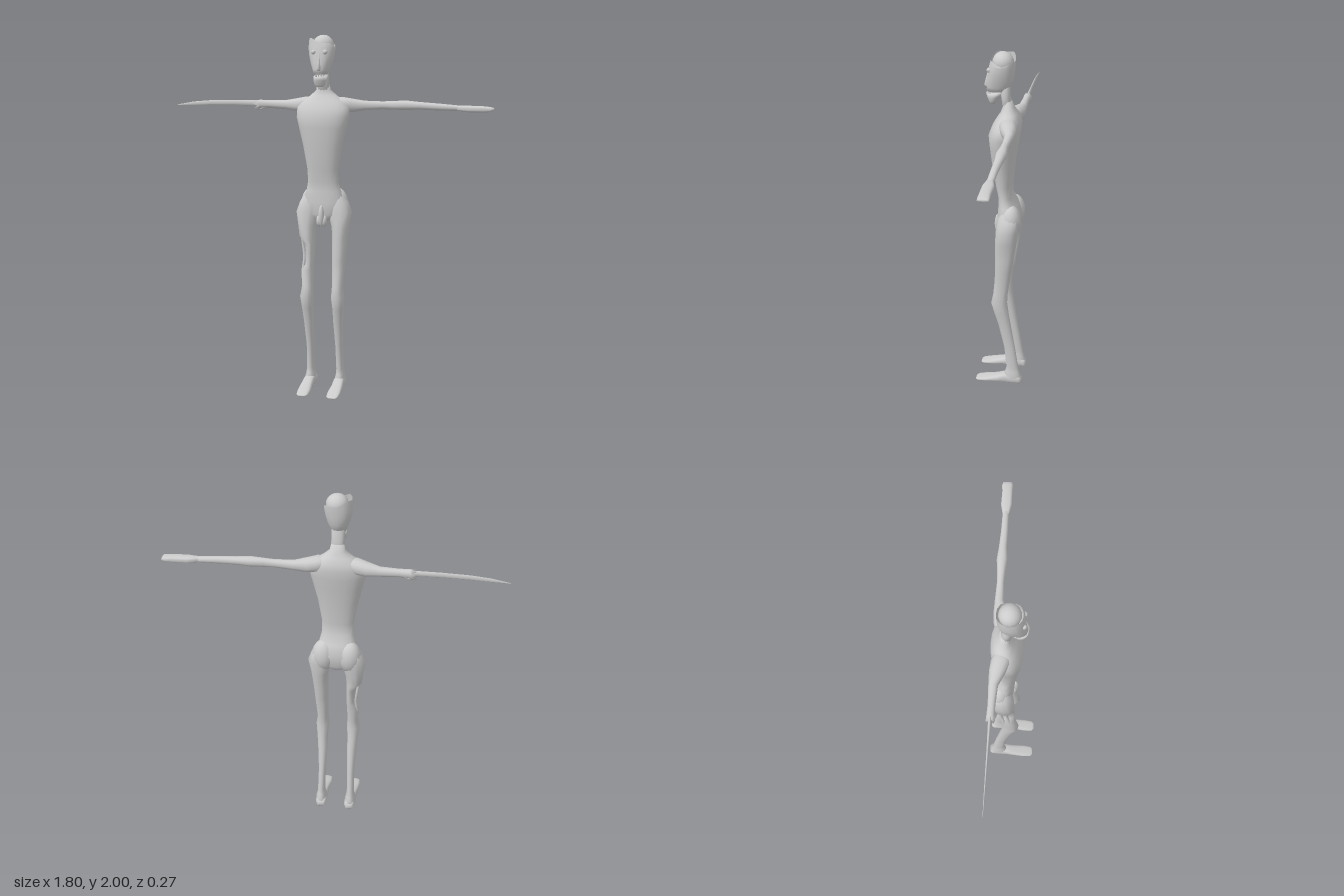
import * as THREE from 'three';

const CX = -0.022; // symmetry line of the body

export function createModel() {
  const model = new THREE.Group();
  model.name = 'gauntFigure';
  const grey = new THREE.MeshStandardMaterial({ color: 0xcccccc, side: THREE.DoubleSide });
  grey.name = 'plainGrey';

  const add = (name, geo, pos = [0, 0, 0], scale = [1, 1, 1], rot = [0, 0, 0]) => {
    const m = new THREE.Mesh(geo, grey);
    m.name = name;
    m.position.set(...pos);
    m.scale.set(...scale);
    m.rotation.set(...rot);
    model.add(m);
  };

  // Axis mappings: (along, a, b) -> x, y, z
  const UP = (t, a, b) => [a, t, b];
  const SIDE = (t, a, b) => [t, a, b];
  const FRONT = (t, a, b) => [a, b, t];
  const mirror = (map) => (t, a, b) => {
    const p = map(t, a, b);
    return [2 * CX - p[0], p[1], p[2]];
  };

  // Skin over oval sections [along, a0, a1, b0, b1]; closed at both ends unless openTop
  function loft(rows, map, { n = 14, e = 0.9, openTop = false, edit = null } = {}) {
    const pos = [], idx = [];
    const pw = (v) => Math.sign(v) * Math.abs(v) ** e;
    rows.forEach(([t, a0, a1, b0, b1], r) => {
      for (let i = 0; i < n; i++) {
        const w = (i / n) * Math.PI * 2;
        const p = map(t, (a0 + a1) / 2 + pw(Math.cos(w)) * (a1 - a0) / 2,
          (b0 + b1) / 2 + pw(Math.sin(w)) * (b1 - b0) / 2);
        if (edit) edit(p, r, i);
        pos.push(...p);
      }
    });
    for (let r = 0; r < rows.length - 1; r++) for (let i = 0; i < n; i++) {
      const a = r * n + i, b = r * n + (i + 1) % n;
      idx.push(a, b, a + n, b, b + n, a + n);
    }
    const cap = (r, flip) => {
      const [t, a0, a1, b0, b1] = rows[r], c = pos.length / 3;
      pos.push(...map(t, (a0 + a1) / 2, (b0 + b1) / 2));
      for (let i = 0; i < n; i++) {
        const a = r * n + i, b = r * n + (i + 1) % n;
        idx.push(...(flip ? [c, b, a] : [c, a, b]));
      }
    };
    cap(0, true);
    if (!openTop) cap(rows.length - 1, false);
    // Turn all faces outward when the mapping reverses them
    const zero = new THREE.Vector3(...map(0, 0, 0));
    const [o, u, w] = [[1, 0, 0], [0, 1, 0], [0, 0, 1]]
      .map((d) => new THREE.Vector3(...map(...d)).sub(zero));
    const dir = u.cross(w).dot(o) * (rows[rows.length - 1][0] - rows[0][0]);
    if (dir < 0) for (let i = 0; i < idx.length; i += 3) [idx[i], idx[i + 1]] = [idx[i + 1], idx[i]];
    const g = new THREE.BufferGeometry();
    g.setAttribute('position', new THREE.Float32BufferAttribute(pos, 3));
    g.setIndex(idx);
    g.computeVertexNormals();
    return g;
  }
  const sym = (rows) => rows.map(([t, h, z0, z1]) => [t, CX - h, CX + h, z0, z1]);
  const ball = new THREE.SphereGeometry(1, 14, 10);

  // Torso, from the crotch to the neck
  add('torso', loft(sym([
    [0.985, 0.035, -0.08, 0], [1.02, 0.1, -0.1, 0.016], [1.09, 0.126, -0.112, 0.018],
    [1.15, 0.099, -0.092, 0.014], [1.2, 0.087, -0.062, 0.015], [1.27, 0.087, -0.062, 0.03],
    [1.4, 0.109, -0.075, 0.05], [1.5, 0.133, -0.09, 0.061], [1.56, 0.147, -0.1, 0.065],
    [1.61, 0.147, -0.105, 0.045], [1.645, 0.12, -0.1, 0.025], [1.675, 0.075, -0.085, 0.005],
    [1.705, 0.04, -0.066, -0.005], [1.74, 0.034, -0.054, -0.002],
  ]), UP, { n: 20 }));
  add('neck', loft(sym([
    [1.7, 0.038, -0.065, -0.005], [1.76, 0.034, -0.045, 0.002], [1.84, 0.034, -0.045, 0.012],
  ]), UP));

  // Arms: the left is whole, the right ends in a torn stump
  const arm = [
    [0.02, 1.605, 1.665, -0.08, -0.02], [0.08, 1.585, 1.668, -0.097, 0],
    [0.13, 1.584, 1.659, -0.102, -0.02], [0.2, 1.595, 1.647, -0.1, -0.052],
    [0.3, 1.602, 1.644, -0.096, -0.058], [0.356, 1.6, 1.647, -0.098, -0.057],
  ];
  add('leftArm', loft([...arm,
    [0.43, 1.599, 1.65, -0.106, -0.05], [0.5, 1.602, 1.643, -0.1, -0.057],
    [0.6, 1.599, 1.636, -0.095, -0.058], [0.72, 1.597, 1.626, -0.094, -0.06],
  ], SIDE));
  add('leftHand', loft([
    [0.7, 1.599, 1.626, -0.093, -0.061], [0.76, 1.591, 1.626, -0.106, -0.049],
    [0.84, 1.59, 1.624, -0.105, -0.05], [0.88, 1.593, 1.62, -0.108, -0.05],
    [0.897, 1.6, 1.615, -0.104, -0.052],
  ], SIDE, { e: 0.7 }));
  add('rightArm', loft([...arm, [0.372, 1.59, 1.645, -0.1, -0.055]], mirror(SIDE), {
    edit: (p, r, i) => { if (r === 6) p[0] += (i % 2 ? -0.016 : 0.012); },
  }));
  add('tornFlesh', loft([
    [-0.36, 1.6, 1.615, -0.09, -0.065], [-0.4, 1.59, 1.605, -0.088, -0.07],
    [-0.425, 1.594, 1.598, -0.082, -0.076],
  ], SIDE, { n: 6 }));
  add('armBlade', loft([
    [-0.36, 1.612, 1.64, -0.09, -0.07], [-0.42, 1.612, 1.643, -0.088, -0.072],
    [-0.55, 1.616, 1.644, -0.085, -0.074], [-0.7, 1.615, 1.641, -0.083, -0.075],
    [-0.8, 1.612, 1.633, -0.082, -0.076], [-0.9, 1.611, 1.615, -0.08, -0.078],
  ], SIDE, { n: 8 }));

  // Legs: the right thigh has a hollow wound on its outer side
  const leg = [
    [0.015, 0.034, 0.096, -0.132, -0.03], [0.05, 0.035, 0.097, -0.132, -0.028],
    [0.08, 0.042, 0.089, -0.12, -0.038], [0.11, 0.044, 0.087, -0.115, -0.045],
    [0.25, 0.042, 0.084, -0.093, -0.03], [0.4, 0.036, 0.092, -0.068, 0.003],
    [0.48, 0.036, 0.098, -0.056, 0.026], [0.55, 0.03, 0.105, -0.047, 0.045],
    [0.61, 0.034, 0.095, -0.05, 0.033], [0.7, 0.032, 0.102, -0.063, 0.024],
    [0.73, 0.031, 0.104, -0.067, 0.023], [0.76, 0.031, 0.106, -0.071, 0.022],
    [0.85, 0.03, 0.112, -0.086, 0.021], [0.89, 0.03, 0.116, -0.092, 0.021],
    [0.95, 0.025, 0.123, -0.1, 0.02], [1.03, 0.002, 0.137, -0.11, 0.015],
    [1.09, 0, 0.115, -0.11, 0.006], [1.15, 0.02, 0.072, -0.07, -0.018],
  ];
  const hurt = leg.map((row) => (row[0] > 0.72 && row[0] < 0.88
    ? [row[0], row[1], 0.078, row[3], row[4]] : row));
  const foot = [
    [-0.135, 0.045, 0.085, 0, 0.035], [-0.122, 0.034, 0.095, 0, 0.052],
    [-0.08, 0.032, 0.098, 0, 0.062], [-0.035, 0.034, 0.097, 0, 0.062],
    [0.01, 0.034, 0.1, 0, 0.044], [0.08, 0.028, 0.102, 0, 0.025], [0.125, 0.032, 0.097, 0, 0.013],
    [0.138, 0.045, 0.085, 0, 0.007],
  ];
  add('leftLeg', loft(leg, UP));
  add('rightLeg', loft(hurt, mirror(UP)));
  add('leftFoot', loft(foot, FRONT, { e: 0.7 }));
  add('rightFoot', loft(foot, mirror(FRONT), { e: 0.7 }));

  // Strands bridging the wound
  for (const z of [-0.05, -0.02]) {
    const path = new THREE.CatmullRomCurve3([
      new THREE.Vector3(-0.145, 0.9, z), new THREE.Vector3(-0.137, 0.83, z - 0.004),
      new THREE.Vector3(-0.13, 0.77, z), new THREE.Vector3(-0.138, 0.69, z + 0.01),
    ]);
    add('woundStrand', new THREE.TubeGeometry(path, 10, 0.008, 6));
  }

  // Seat and groin
  for (const s of [-1, 1]) {
    add('buttock', ball, [CX + s * 0.072, 1.07, -0.062], [0.064, 0.095, 0.058]);
    add('groinSide', ball, [CX + s * 0.014, 0.985, 0.008], [0.017, 0.032, 0.022]);
  }
  add('groinFront', ball, [CX, 1.015, 0.02], [0.016, 0.06, 0.02]);

  // Skull with a slanting, jagged open rim
  add('skull', loft(sym([
    [1.79, 0.037, -0.02, 0.076], [1.815, 0.045, -0.045, 0.08], [1.85, 0.058, -0.062, 0.077],
    [1.89, 0.068, -0.068, 0.07], [1.93, 0.074, -0.072, 0.064], [1.96, 0.07, -0.073, 0.055],
  ]), UP, {
    n: 16, openTop: true,
    edit: (p, r, i) => {
      if (r === 5) p[1] += -(p[0] - CX) * 0.28 + (i % 4 === 0 ? -0.004 : i % 2 ? 0.003 : 0.009);
    },
  }));
  add('brain', ball, [CX + 0.006, 1.945, -0.008], [0.058, 0.055, 0.056]);

  // Face
  add('nose', loft(sym([
    [1.808, 0.009, 0.06, 0.084], [1.818, 0.012, 0.06, 0.093], [1.85, 0.009, 0.06, 0.085],
    [1.9, 0.004, 0.055, 0.07],
  ]), UP, { n: 8 }));
  for (const s of [-1, 1]) add('eye', ball, [CX + s * 0.032, 1.907, 0.06], [0.013, 0.013, 0.013]);
  // The jaw climbs at the back to join the skull
  add('jaw', loft(sym([
    [1.722, 0.019, 0.034, 0.06], [1.735, 0.03, 0.022, 0.068], [1.757, 0.036, 0, 0.077],
    [1.777, 0.037, -0.022, 0.082],
  ]), UP, {
    edit: (p, r) => { p[1] += [0, 0.1, 0.3, 0.35][r] * Math.max(0, 0.045 - p[2]); },
  }));
  const tooth = new THREE.ConeGeometry(0.006, 0.022, 5);
  for (let i = -2; i <= 2; i++) {
    const z = 0.074 - i * i * 0.004;
    add('upperTooth', tooth, [CX + i * 0.012, 1.785, z], [1, 1, 1], [Math.PI, 0, 0]);
    if (i % 2) add('lowerTooth', tooth, [CX + i * 0.016, 1.781, z]);
  }
  return model;
}
